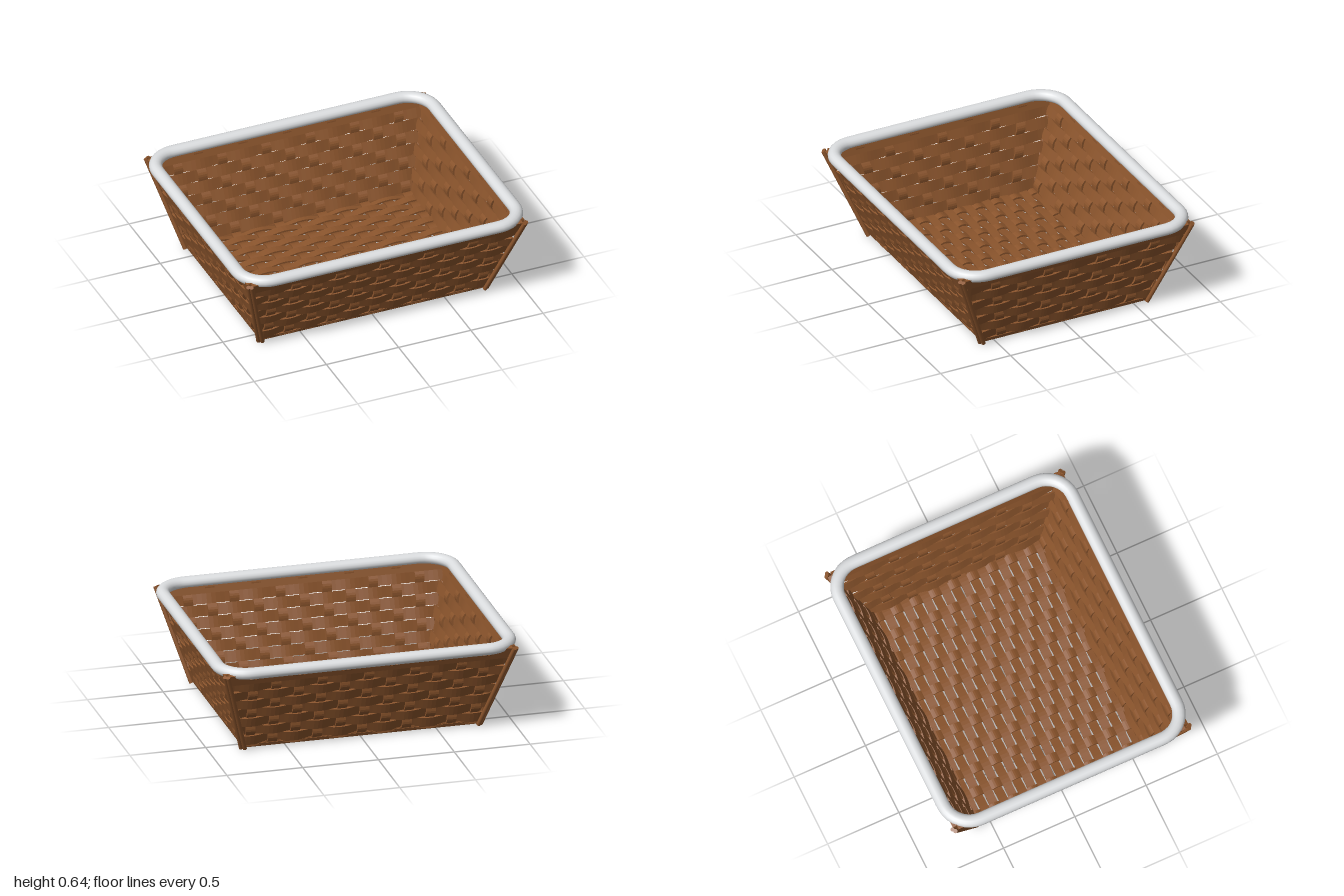
import * as THREE from 'three';
import { mergeGeometries } from 'three/addons/utils/BufferGeometryUtils.js';

const wicker = new THREE.MeshStandardMaterial({ color: 0x8a542c });
wicker.name = 'brown wicker';
const cloth = new THREE.MeshStandardMaterial({ color: 0xdcdee0 });
cloth.name = 'white rim';

const lerp = THREE.MathUtils.lerp;
const V = (x, y, z) => new THREE.Vector3(x, y, z);

// Flat strip of rectangular section swept along center(t), t = 0..1
function ribbon(center, steps, across, normal, halfW, halfT) {
  const along = center(1).sub(center(0));
  const a = across.clone();
  if (along.dot(a.clone().cross(normal)) < 0) a.negate();
  const pos = [], index = [];
  for (let k = 0; k <= steps; k++) {
    const c = center(k / steps);
    for (const [p, q] of [[-1, -1], [1, -1], [1, 1], [-1, 1]]) {
      const v = c.clone().addScaledVector(a, p * halfW).addScaledVector(normal, q * halfT);
      pos.push(v.x, v.y, v.z);
    }
  }
  for (let k = 0; k < steps; k++) {
    for (let j = 0; j < 4; j++) {
      const p = k * 4 + j, q = k * 4 + (j + 1) % 4;
      index.push(p, q, q + 4, p, q + 4, p + 4);
    }
  }
  const e = steps * 4;
  index.push(0, 3, 2, 0, 2, 1, e, e + 1, e + 2, e, e + 2, e + 3);
  const g = new THREE.BufferGeometry();
  g.setAttribute('position', new THREE.Float32BufferAttribute(pos, 3));
  g.setIndex(index);
  const flat = g.toNonIndexed();
  flat.computeVertexNormals();
  return flat;
}

function addMesh(parent, name, geometry, material = wicker) {
  const m = new THREE.Mesh(geometry, material);
  m.name = name;
  parent.add(m);
  return m;
}

const AMP = 0.009, THICK = 0.007;
const Y0 = 0.02, Y1 = 0.6, ROW0 = 0.07, PITCH = 0.0717, ROWS = 7;

// Leaning woven wall facing +z: half lengths, distances and upright spacing at bottom and top
function makeWall(name, L, D, S, count, phase) {
  const wall = new THREE.Group();
  wall.name = name;
  const h = y => (y - Y0) / (Y1 - Y0);
  const up = V(0, Y1 - Y0, D[1] - D[0]).normalize();
  const out = V(0, -up.z, up.y);
  const at = (x, y, off) => V(x, y, lerp(D[0], D[1], h(y))).addScaledVector(out, off);

  // horizontal strips
  const wefts = [];
  for (let r = 0; r < ROWS; r++) {
    const y = ROW0 + r * PITCH;
    const half = lerp(L[0], L[1], h(y)), s = lerp(S[0], S[1], h(y));
    wefts.push(ribbon(t => {
      const x = lerp(-half, half, t);
      return at(x, y, AMP * Math.cos(Math.PI * (x / s + r + phase)));
    }, 60, up, out, 0.034 / up.y, THICK));
  }
  addMesh(wall, 'horizontalStrips', mergeGeometries(wefts));

  // upright strips
  const warps = [];
  for (let i = -count; i <= count; i++) {
    warps.push(ribbon(t => {
      const y = lerp(Y0, 0.565, t);
      const wave = Math.cos(Math.PI * ((y - ROW0) / PITCH + i + phase));
      return at(i * lerp(S[0], S[1], h(y)), y, -AMP * 1.3 * wave);
    }, 40, V(1, 0, 0), out, 0.031, THICK));
  }
  addMesh(wall, 'uprightStrips', mergeGeometries(warps));

  // plain bands along the top and bottom
  const band = (y, halfW, halfT) => {
    const half = lerp(L[0], L[1], h(y));
    return ribbon(t => at(lerp(-half, half, t), y, 0), 1, up, out, halfW, halfT);
  };
  addMesh(wall, 'topBand', band(0.565, 0.037 / up.y, 0.016));
  addMesh(wall, 'bottomBand', band(0.025, 0.012, 0.012));
  return wall;
}

function makeFloor() {
  const floor = new THREE.Group();
  floor.name = 'floor';
  const pitch = 0.0667, step = 0.148, y = 0.03, up = V(0, 1, 0);
  const wefts = [], warps = [];
  for (let r = 0; r < 18; r++) {
    const z = (r - 8.5) * pitch;
    wefts.push(ribbon(t => {
      const x = lerp(-0.775, 0.775, t);
      return V(x, y + AMP * Math.cos(Math.PI * (x / step + r + 1)) * -1, z);
    }, 60, V(0, 0, 1), up, 0.0285, 0.006));
  }
  for (let i = -5; i <= 5; i++) {
    warps.push(ribbon(t => {
      const z = lerp(-0.59, 0.59, t);
      return V(i * step, y + AMP * Math.cos(Math.PI * (z / pitch + 8.5 + i + 1)), z);
    }, 90, V(1, 0, 0), up, 0.031, 0.006));
  }
  addMesh(floor, 'lengthwiseStrips', mergeGeometries(wefts));
  addMesh(floor, 'crosswiseStrips', mergeGeometries(warps));
  return floor;
}

// Round rod between two points
function rod(a, b, radius) {
  const d = b.clone().sub(a);
  const g = new THREE.CylinderGeometry(radius, radius, d.length(), 10);
  g.applyQuaternion(new THREE.Quaternion().setFromUnitVectors(V(0, 1, 0), d.normalize()));
  const c = a.clone().add(b).multiplyScalar(0.5);
  return g.translate(c.x, c.y, c.z);
}

// Padded rim following a rounded rectangle
function makeRim() {
  const X = 0.957, Z = 0.817, R = 0.18, pts = [];
  [[1, 1], [-1, 1], [-1, -1], [1, -1]].forEach(([sx, sz], q) => {
    for (let k = 0; k <= 8; k++) {
      const a = (q + k / 8) * Math.PI / 2;
      pts.push(V(sx * (X - R) + R * Math.cos(a), 0, sz * (Z - R) + R * Math.sin(a)));
    }
    // points keeping each straight side straight
    const alongX = q % 2 === 0;
    for (const f of [0.9, 0.5, 0, -0.5, -0.9]) {
      pts.push(alongX ? V(sx * f * (X - R), 0, sz * Z) : V(sx * X, 0, sz * f * (Z - R)));
    }
  });
  const curve = new THREE.CatmullRomCurve3(pts, true);
  return new THREE.TubeGeometry(curve, 200, 0.043, 16, true).scale(1, 0.86, 1);
}

export function createModel() {
  const basket = new THREE.Group();
  basket.name = 'basket';

  basket.add(makeFloor());

  // four walls, opposite ones alike
  ['frontWall', 'leftWall', 'backWall', 'rightWall'].forEach((name, q) => {
    const wall = q % 2 === 0
      ? makeWall(name, [0.775, 0.945], [0.58, 0.81], [0.147, 0.154], 5, 1)
      : makeWall(name, [0.58, 0.81], [0.77, 0.945], [0.15, 0.197], 3, 0);
    wall.rotation.y = q * Math.PI / 2;
    basket.add(wall);
  });

  // pairs of corner rods
  const rods = [];
  for (const sx of [-1, 1]) for (const sz of [-1, 1]) {
    rods.push(rod(V(sx * 0.77, 0.006, sz * 0.6), V(sx * 0.945, 0.595, sz * 0.832), 0.014));
    rods.push(rod(V(sx * 0.79, 0.006, sz * 0.585), V(sx * 0.962, 0.595, sz * 0.82), 0.014));
  }
  addMesh(basket, 'cornerRods', mergeGeometries(rods));

  addMesh(basket, 'rim', makeRim(), cloth).position.y = 0.603;
  return basket;
}
